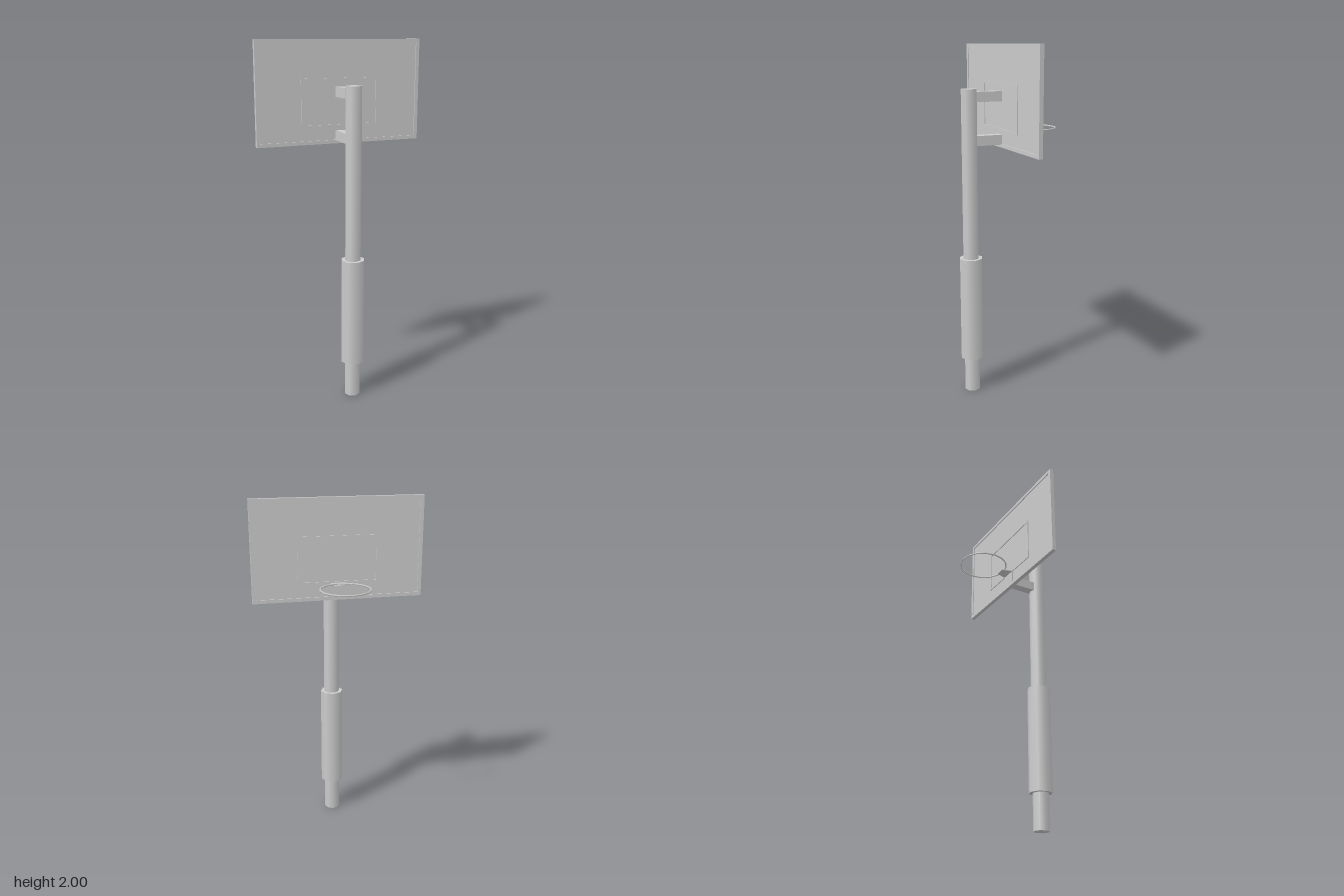
import * as THREE from 'three';

const material = new THREE.MeshStandardMaterial({ color: 0xcccccc });

function add(parent, name, geometry, x, y, z) {
  const mesh = new THREE.Mesh(geometry, material);
  mesh.name = name;
  mesh.position.set(x, y, z);
  parent.add(mesh);
  return mesh;
}

// Rectangular frame in the xy plane, centred on z = 0
function frameGeometry(w, h, bar, depth) {
  const rect = (path, a, b) => {
    path.moveTo(-a, -b);
    path.lineTo(a, -b);
    path.lineTo(a, b);
    path.lineTo(-a, b);
    path.closePath();
    return path;
  };
  const shape = rect(new THREE.Shape(), w / 2, h / 2);
  shape.holes.push(rect(new THREE.Path(), w / 2 - bar, h / 2 - bar));
  const g = new THREE.ExtrudeGeometry(shape, { depth, bevelEnabled: false });
  return g.translate(0, 0, -depth / 2);
}

export function createModel() {
  const model = new THREE.Group();
  model.name = 'basketballHoop';
  const poleZ = 0.225, boardZ = 0.0335, boardY = 1.72;

  // Eight-sided pole with a wider protective pad
  add(model, 'pole', new THREE.CylinderGeometry(0.046, 0.046, 1.765, 8), 0, 0.8825, poleZ);
  add(model, 'polePad', new THREE.CylinderGeometry(0.067, 0.067, 0.61, 8), 0, 0.51, poleZ);

  // Two arms from the pole to the board
  for (const [name, y] of [['upperArm', 1.722], ['lowerArm', 1.484]])
    add(model, name, new THREE.BoxGeometry(0.053, 0.055, 0.165), 0, y, 0.1225);

  // Backboard: recessed panel, outer frame and target rectangle
  const board = new THREE.Group();
  board.name = 'backboard';
  board.position.set(0, boardY, boardZ);
  model.add(board);
  add(board, 'panel', new THREE.BoxGeometry(0.94, 0.54, 0.012), 0, 0, 0);
  add(board, 'outerFrame', frameGeometry(0.96, 0.56, 0.02, 0.023), 0, 0, 0);
  add(board, 'targetFrame', frameGeometry(0.455, 0.265, 0.014, 0.022), 0, -0.057, 0);

  // Rim bracket: plate on the board and a tapered tongue under the rim
  add(model, 'bracketPlate', new THREE.BoxGeometry(0.092, 0.075, 0.008), 0, 1.497, 0.026);
  const tongue = new THREE.Shape([[-0.046, -0.026], [0.046, -0.026], [0.026, 0.038], [-0.026, 0.038]]
    .map(([x, y]) => new THREE.Vector2(x, y)));
  const tongueGeometry = new THREE.ExtrudeGeometry(tongue, { depth: 0.006, bevelEnabled: false });
  tongueGeometry.rotateX(-Math.PI / 2);
  add(model, 'bracketTongue', tongueGeometry, 0, 1.53, 0);

  // Sixteen-sided rim
  const rim = new THREE.TorusGeometry(0.137, 0.0045, 6, 16).rotateX(Math.PI / 2);
  add(model, 'rim', rim, 0, 1.539, -0.152);

  return model;
}
